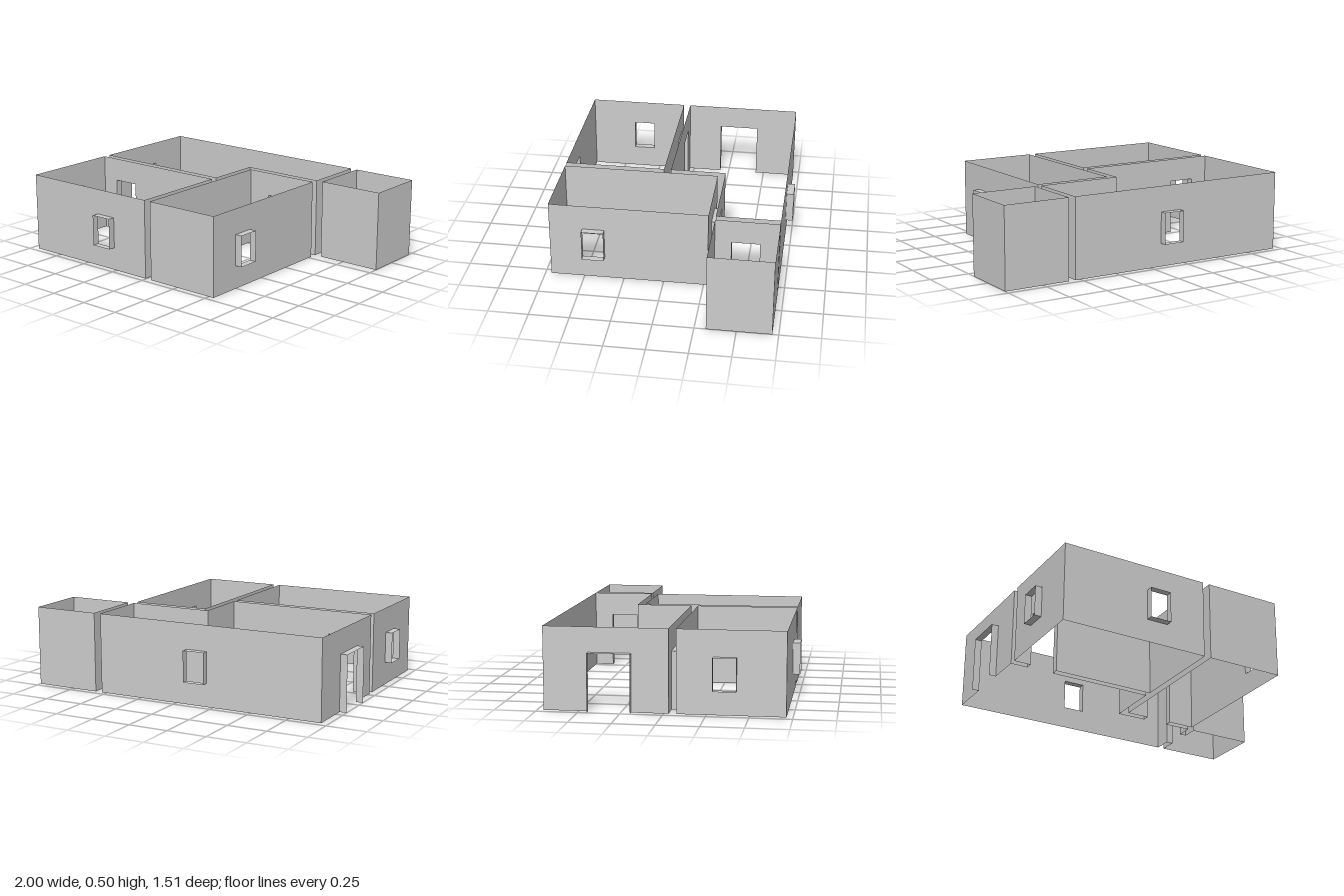
import * as THREE from 'three';

const H = 0.5, DOOR_TOP = 0.35, SILL = 0.145, WINDOW_TOP = 0.34;
const material = new THREE.MeshStandardMaterial({ color: 0xcccccc, side: THREE.DoubleSide });

// Floor plans of the rooms as [x, z] corners
const rooms = {
  hallRoom: [[-0.955, -0.712], [0.535, -0.712], [0.535, -0.32], [-0.005, -0.32], [-0.005, 0.03], [-0.955, 0.03]],
  frontRightRoom: [[-0.955, 0.075], [-0.005, 0.075], [-0.005, 0.712], [-0.955, 0.712]],
  frontLeftRoom: [[0.04, -0.275], [0.535, -0.275], [0.535, 0.712], [0.04, 0.712]],
  sideRoom: [[0.58, -0.712], [1, -0.712], [1, -0.32], [0.58, -0.32]],
};

// Openings: 'axis' is the direction the wall runs, 'from/to' lie along it,
// 'near/far' are the two planes the lining spans
const openings = [
  { name: 'backWindow', axis: 'x', from: -0.21, to: -0.073, near: -0.757, far: -0.712 },
  { name: 'frontWindow', axis: 'x', from: -0.402, to: -0.265, near: 0.712, far: 0.757 },
  { name: 'rightWindow', axis: 'z', from: 0.288, to: 0.425, near: -1, far: -0.955 },
  { name: 'leftWindow', axis: 'z', from: 0.368, to: 0.505, near: 0.535, far: 0.58 },
  { name: 'entranceDoor', axis: 'z', from: -0.445, to: -0.19, near: -1, far: -0.955, door: true },
  { name: 'sideRoomDoor', axis: 'z', from: -0.595, to: -0.422, near: 0.535, far: 0.58, door: true },
  { name: 'frontLeftDoor', axis: 'x', from: 0.188, to: 0.36, near: -0.32, far: -0.275, door: true },
  { name: 'frontRightDoor', axis: 'x', from: -0.845, to: -0.672, near: 0.03, far: 0.075, door: true },
];

// Upright sheet along x or z between two corners, cut by the openings in it
function makeWall([x1, z1], [x2, z2]) {
  const axis = z1 === z2 ? 'x' : 'z';
  const plane = axis === 'x' ? z1 : x1;
  const [a, b] = (axis === 'x' ? [x1, x2] : [z1, z2]).sort((p, q) => p - q);
  const cuts = openings.filter(o => o.axis === axis && (o.near === plane || o.far === plane)
    && o.from > a && o.to < b).sort((p, q) => p.from - q.from);

  const shape = new THREE.Shape();
  shape.moveTo(a, 0);
  for (const { from, to, door } of cuts) {
    if (door) {
      shape.lineTo(from, 0).lineTo(from, DOOR_TOP).lineTo(to, DOOR_TOP).lineTo(to, 0);
    } else {
      const hole = new THREE.Path();
      hole.moveTo(from, SILL).lineTo(from, WINDOW_TOP).lineTo(to, WINDOW_TOP).lineTo(to, SILL).closePath();
      shape.holes.push(hole);
    }
  }
  shape.lineTo(b, 0).lineTo(b, H).lineTo(a, H).closePath();

  const wall = new THREE.Mesh(new THREE.ShapeGeometry(shape), material);
  if (axis === 'x') {
    wall.position.z = plane;
  } else {
    wall.rotation.y = -Math.PI / 2;
    wall.position.x = plane;
  }
  wall.name = 'wall';
  return wall;
}

// Thin lining of an opening: two jambs, a head, and a sill for windows
function makeLining({ name, axis, from, to, near, far, door }) {
  const group = new THREE.Group();
  group.name = name;
  const bottom = door ? 0 : SILL, top = door ? DOOR_TOP : WINDOW_TOP;
  const depth = far - near, width = to - from, height = top - bottom;

  for (const u of [from, to]) {
    const jamb = new THREE.Mesh(new THREE.PlaneGeometry(depth, height).rotateY(Math.PI / 2), material);
    jamb.position.set(u, (bottom + top) / 2, 0);
    jamb.name = 'jamb';
    group.add(jamb);
  }
  for (const y of door ? [top] : [top, bottom]) {
    const board = new THREE.Mesh(new THREE.PlaneGeometry(width, depth).rotateX(-Math.PI / 2), material);
    board.position.set((from + to) / 2, y, 0);
    board.name = y === top ? 'head' : 'sill';
    group.add(board);
  }
  const mid = (near + far) / 2;
  if (axis === 'x') {
    group.position.z = mid;
  } else {
    group.rotation.y = -Math.PI / 2;
    group.position.x = mid;
  }
  return group;
}

export function createModel() {
  const model = new THREE.Group();
  model.name = 'housePlan';
  for (const [name, corners] of Object.entries(rooms)) {
    const room = new THREE.Group();
    room.name = name;
    corners.forEach((c, i) => room.add(makeWall(c, corners[(i + 1) % corners.length])));
    model.add(room);
  }
  openings.forEach(o => model.add(makeLining(o)));
  return model;
}
